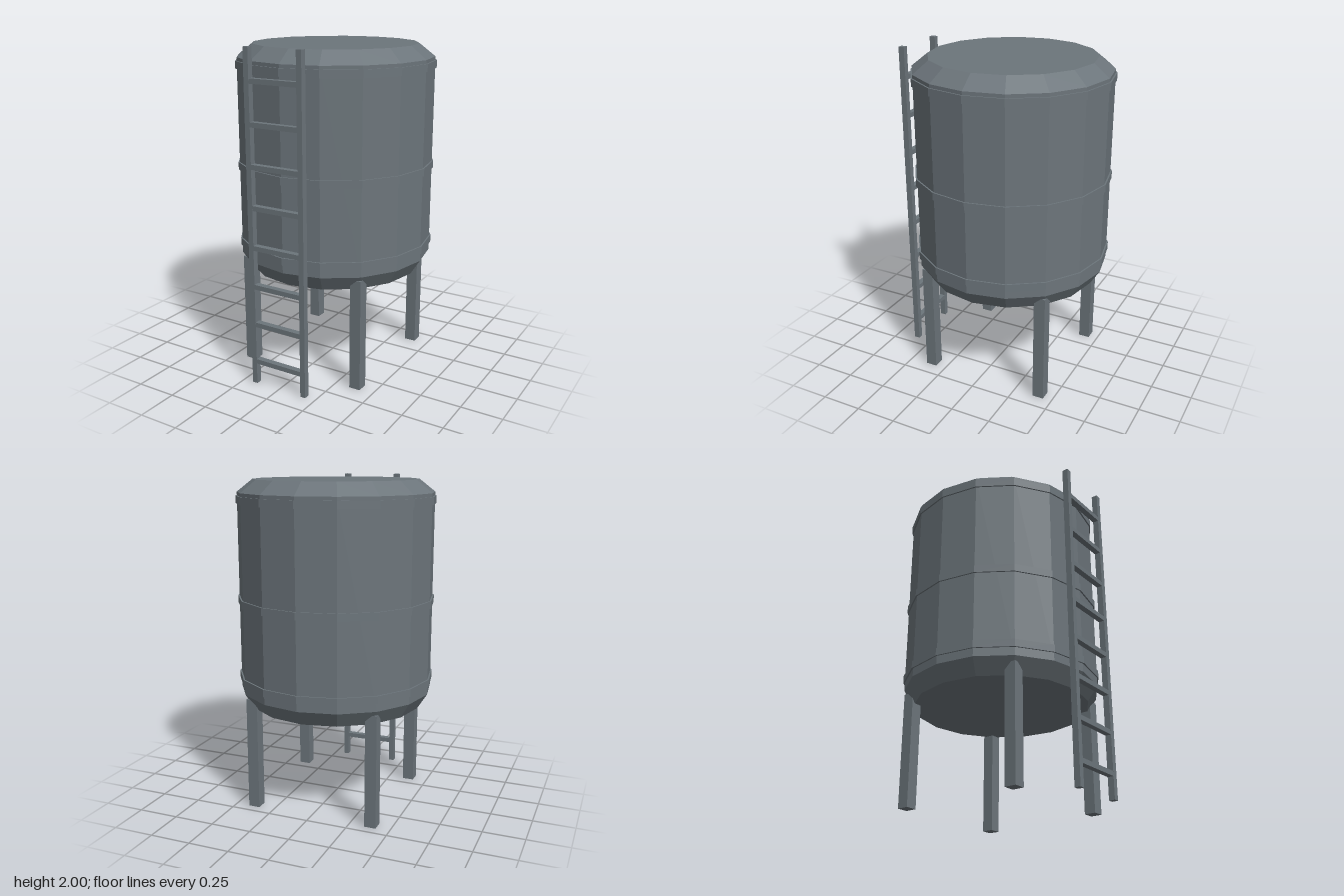
import * as THREE from 'three';

export function createModel() {
  const model = new THREE.Group();
  model.name = 'waterTank';
  const steel = new THREE.MeshStandardMaterial({ color: 0x6c757b, flatShading: true });
  steel.name = 'grey steel';

  const SIDES = 16;
  const TANK_Z = -0.03;

  function add(parent, name, geometry, x, y, z) {
    const mesh = new THREE.Mesh(geometry, steel);
    mesh.name = name;
    mesh.position.set(x, y, z);
    parent.add(mesh);
    return mesh;
  }

  // Tank shell with chamfered bottom and top
  const profile = [[0, 0.625], [0.53, 0.625], [0.59, 0.718], [0.59, 1.91], [0.495, 1.985], [0, 1.985]]
    .map(([r, y]) => new THREE.Vector2(r, y));
  add(model, 'tank', new THREE.LatheGeometry(profile, SIDES), 0, 0, TANK_Z);

  // Hoops around the shell
  for (const y of [0.79, 1.267, 1.867]) {
    add(model, 'hoop', new THREE.CylinderGeometry(0.599, 0.599, 0.045, SIDES), 0, y, TANK_Z);
  }

  // Four square legs, their tops set into the lower chamfer
  for (const sx of [-1, 1]) {
    for (const sz of [-1, 1]) {
      add(model, 'leg', new THREE.BoxGeometry(0.07, 0.69, 0.07), sx * 0.38, 0.345, TANK_Z + sz * 0.38);
    }
  }

  // Ladder standing in front of the tank
  const ladder = new THREE.Group();
  ladder.name = 'ladder';
  ladder.position.z = 0.609;
  model.add(ladder);
  for (const sx of [-1, 1]) {
    add(ladder, 'rail', new THREE.BoxGeometry(0.033, 2, 0.037), sx * 0.171, 1, 0);
  }
  for (let i = 0; i < 8; i++) {
    add(ladder, 'rung', new THREE.BoxGeometry(0.312, 0.029, 0.036), 0, 0.145 + i * 0.239, 0);
  }

  return model;
}
